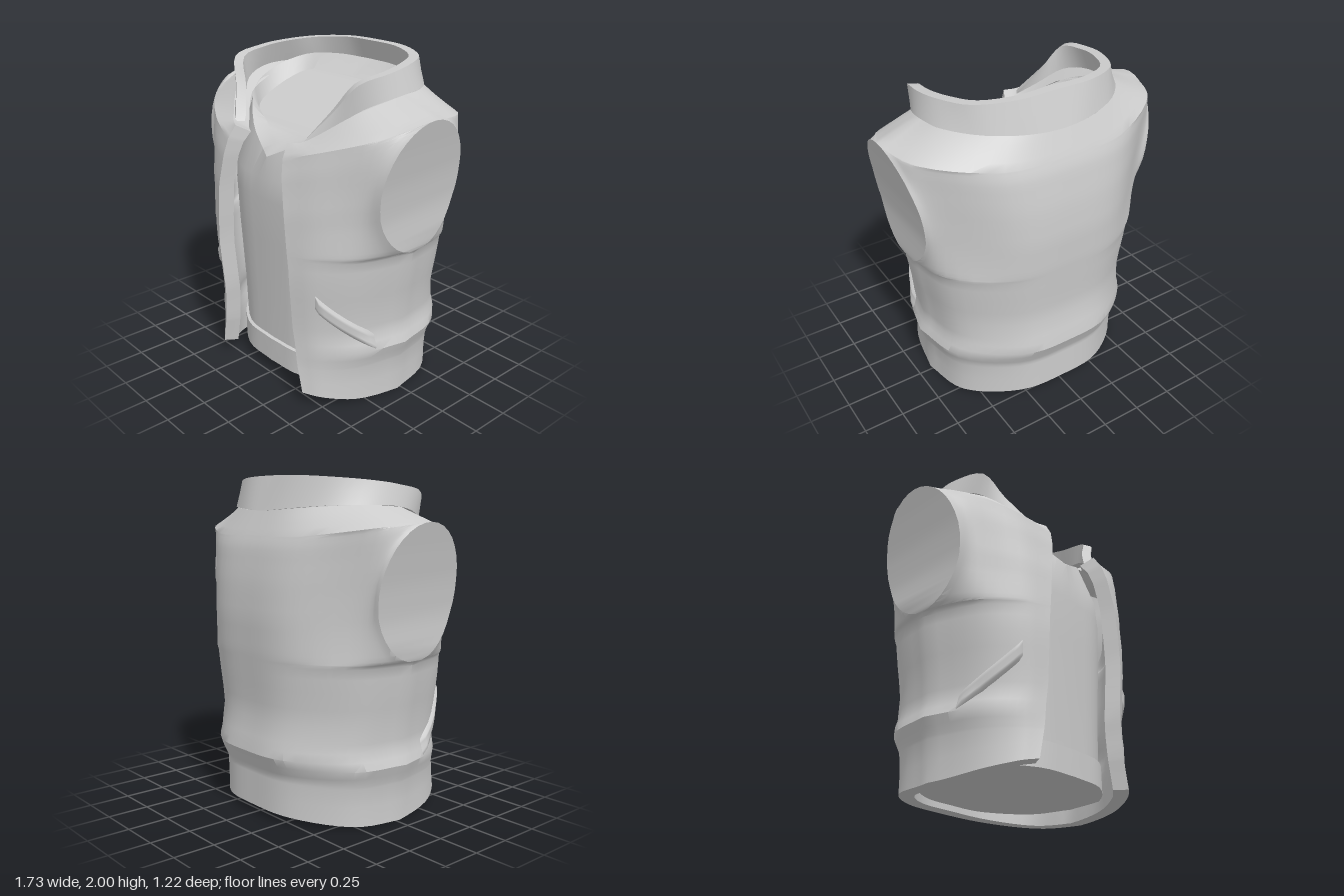
import * as THREE from 'three';
import { toCreasedNormals } from 'three/addons/utils/BufferGeometryUtils.js';

const { lerp, smoothstep } = THREE.MathUtils;
const V = (x, y, z) => new THREE.Vector3(x, y, z);
const mirror = (p) => V(-p.x, p.y, p.z);
const material = new THREE.MeshStandardMaterial({ color: 0xcccccc, side: THREE.DoubleSide });

// Linear lookup in a short list of [height, value] pairs
function table(list, y) {
  for (let i = 1; i < list.length; i++) {
    const [y0, a] = list[i - 1], [y1, b] = list[i];
    if (y <= y1) return lerp(a, b, Math.max(0, (y - y0) / (y1 - y0)));
  }
  return list[list.length - 1][1];
}

const curve = (pts) => new THREE.CatmullRomCurve3(pts, false, 'catmullrom', 0.5);

// Samples a half curve; with smoothEnd it crosses x = 0 without a kink
function sample(pts, n, smoothEnd = false) {
  const c = curve(smoothEnd ? [...pts, mirror(pts[pts.length - 2])] : pts);
  const end = smoothEnd ? (pts.length - 1) / pts.length : 1;
  return Array.from({ length: n + 1 }, (_, i) => c.getPoint((i / n) * end));
}

// Skins closed loops from bottom to top; both ends are closed by strips joining j and L-1-j
function loft(name, loops, crease = 0.6) {
  const L = loops[0].length, R = loops.length, index = [];
  const quad = (a, b, c, d) => index.push(a, b, c, a, c, d);
  for (let i = 0; i < R - 1; i++) {
    for (let j = 0; j < L; j++) {
      const k = (j + 1) % L;
      quad(i * L + j, i * L + k, (i + 1) * L + k, (i + 1) * L + j);
    }
  }
  for (let j = 0; j < L / 2 - 1; j++) {
    const t = (R - 1) * L;
    quad(L - 1 - j, L - 2 - j, j + 1, j);
    quad(t + j, t + j + 1, t + L - 2 - j, t + L - 1 - j);
  }
  const g = new THREE.BufferGeometry().setFromPoints(loops.flat());
  g.setIndex(index);
  const mesh = new THREE.Mesh(toCreasedNormals(g, crease), material);
  mesh.name = name;
  return mesh;
}

// Half row -> whole open row with an inner wall
function wall(half, thickness, drop = () => 0) {
  const outer = [...half, ...half.slice(0, -1).reverse().map(mirror)];
  const inner = outer.map((p) => {
    const k = 1 - thickness / Math.hypot(p.x, p.z);
    return V(p.x * k, p.y - drop(p.y), p.z * k);
  });
  return [...outer, ...inner.reverse()];
}

// Half row -> closed ring
const ring = (half) => [...half, ...half.slice().reverse().map(mirror)];

// Jacket measurements by height
const ARM = 0.96, ARM_TOP = 1.74;
const side = [[0, .66], [.2, .66], [.27, .68], [.35, .71], [.45, .675], [.6, .685], [.8, .72], [.94, .74],
  [.97, .762], [1.2, .758], [1.4, .785], [1.6, .83], [1.74, .865]];
const front = [[0, .57], [.4, .575], [.6, .59], [.8, .605], [1, .61], [1.2, .61], [1.4, .59], [1.5, .565]];
const back = [[0, -.55], [.27, -.55], [.33, -.575], [.4, -.61], [.46, -.6], [.62, -.565], [.8, -.58],
  [1, -.595], [1.2, -.6], [1.4, -.585], [1.6, -.55], [1.7, -.51]];
const opening = [[0, .4], [.3, .355], [.5, .335], [.85, .34], [1.2, .31], [1.5, .255]];

// Control points of one jacket row: front panel and back panel meet at the side or the armhole rim
function jacketControls(y) {
  const up = Math.max(0, y - ARM);
  const yF = y - up * 0.31, yB = y - up * 0.1;
  const t = (y - (ARM + ARM_TOP) / 2) / ((ARM_TOP - ARM) / 2);
  const w = 0.307 * Math.sqrt(Math.max(0, 1 - t * t));
  const X = table(side, y), ox = table(opening, yF), zf = table(front, yF), zb = table(back, yB);
  return {
    front: [V(ox, yF, zf), V(lerp(ox, X, .38), lerp(yF, y, .3), zf * .86),
      V(lerp(ox, X, .78), lerp(yF, y, .65), zf * .55 + w * .1), V(X, y, .025 + w)],
    back: [V(X, y, .025 - w), V(X * .88, lerp(y, yB, .4), zb * .52), V(X * .45, yB, zb * .93), V(0, yB, zb)],
  };
}

function jacketHalf(y) {
  const c = jacketControls(y);
  const row = [...sample(c.front, 12), ...sample(c.back, 15, true)];
  // Curved hem, fading out over the waistband
  for (const p of row) p.y += Math.max(0, 1 - y / .25) * (p.z > 0 ? .25 : .16) * p.z * p.z;
  return row;
}

function jacket() {
  const heights = [0, .12, .235, .25, .27, .3, .35, .4, .45, .5, .6, .7, .8, .88, .94];
  for (let i = 0; i <= 18; i++) {
    heights.push((ARM + ARM_TOP) / 2 - ((ARM_TOP - ARM) / 2) * Math.cos((i / 18) * Math.PI));
  }
  const rows = heights.map(jacketHalf);
  // Shoulders run from the top armhole row in to the neckline
  const neck = [
    ...sample([V(.24, 1.575, .52), V(.34, 1.6, .46), V(.53, 1.75, .28), V(.61, 1.82, .05)], 12),
    ...sample([V(.61, 1.82, .05), V(.57, 1.83, -.18), V(.3, 1.815, -.41), V(0, 1.8, -.46)], 15, true),
  ];
  const last = rows[rows.length - 1];
  for (const t of [.25, .5, .75, 1]) rows.push(last.map((p, j) => p.clone().lerp(neck[j], t)));
  return loft('jacket', rows.map((r) => wall(r, .09, (y) => .06 * smoothstep(y, 1.3, 1.7))));
}

// Stand-up collar, open at the front
function collar() {
  const base = sample([V(.31, 1.575, .475), V(.42, 1.655, .385), V(.55, 1.77, .25), V(.612, 1.82, .05),
    V(.575, 1.83, -.17), V(.42, 1.825, -.35), V(.2, 1.81, -.445), V(0, 1.8, -.465)], 28, true);
  const top = sample([V(.325, 1.605, .455), V(.44, 1.76, .36), V(.545, 1.905, .285), V(.575, 1.945, .08),
    V(.545, 1.965, -.1), V(.45, 1.98, -.28), V(.24, 1.995, -.385), V(0, 2, -.395)], 28, true);
  const rows = [0, .5, 1].map((t) => wall(base.map((p, j) => p.clone().lerp(top[j], t)), .06));
  return loft('collar', rows, .5);
}

// Solid shirt body with a waistband and a V neck
function shirt() {
  const section = (y, X, zf, zb, tilt = 0) => {
    const h = (z) => y - tilt * (z + .3);
    return [[0, zf], [X * .45, zf * .94], [X * .87, zf * .55], [X, 0], [X * .87, zb * .55], [X * .45, zb * .92], [0, zb]]
      .map(([x, z]) => V(x, h(z), z));
  };
  const outerNeck = [V(0, 1.43, .48), V(.25, 1.56, .38), V(.47, 1.71, .2), V(.53, 1.8, 0),
    V(.45, 1.87, -.2), V(.25, 1.89, -.3), V(0, 1.89, -.33)];
  // Sloping plane that closes the neck
  const innerNeck = [[0, .42], [.22, .3], [.44, .19], [.475, 0], [.4, -.17], [.2, -.2], [0, -.21]]
    .map(([x, z]) => V(x, 1.7 - .48 * z, z));
  const rows = [
    section(.085, .6, .49, -.49), section(.24, .6, .49, -.49), section(.245, .59, .47, -.48),
    section(.5, .6, .475, -.48), section(.9, .63, .49, -.5), section(1.25, .64, .5, -.5, .1),
    section(1.5, .62, .495, -.48, .25), outerNeck, innerNeck,
  ];
  return loft('shirt', rows.map((r) => ring(sample(r, 24))), .5);
}

// Slanted pocket welt that follows the front panel as a soft ridge
function pocket(sign) {
  const n = 10, m = 6, pts = [], index = [];
  for (let i = 0; i <= n; i++) {
    for (let j = 0; j <= m; j++) {
      const u = i / n, v = j / m;
      const y = lerp(.69, .4, u) + (v - .5) * .11;
      const p = curve(jacketControls(y).front).getPoint(lerp(.3, .8, u));
      const lift = -.006 + .026 * Math.min(1, 2.5 * Math.sin(Math.PI * v)) * Math.min(1, 4 * Math.sin(Math.PI * u));
      const k = 1 + lift / Math.hypot(p.x, p.z);
      pts.push(V(sign * p.x * k, p.y, p.z * k));
      if (i < n && j < m) {
        const a = i * (m + 1) + j, b = a + m + 1;
        if (sign > 0) index.push(a, a + 1, b, b, a + 1, b + 1);
        else index.push(a, b, a + 1, b, b + 1, a + 1);
      }
    }
  }
  // Corner order: the strip runs down the panel, so flip to face outward
  for (let i = 0; i < index.length; i += 3) [index[i + 1], index[i + 2]] = [index[i + 2], index[i + 1]];
  const g = new THREE.BufferGeometry().setFromPoints(pts);
  g.setIndex(index);
  g.computeVertexNormals();
  const mesh = new THREE.Mesh(g, material);
  mesh.name = sign > 0 ? 'leftPocket' : 'rightPocket';
  return mesh;
}

export function createModel() {
  const group = new THREE.Group();
  group.name = 'vest';
  group.add(jacket(), collar(), shirt(), pocket(1), pocket(-1));
  return group;
}
